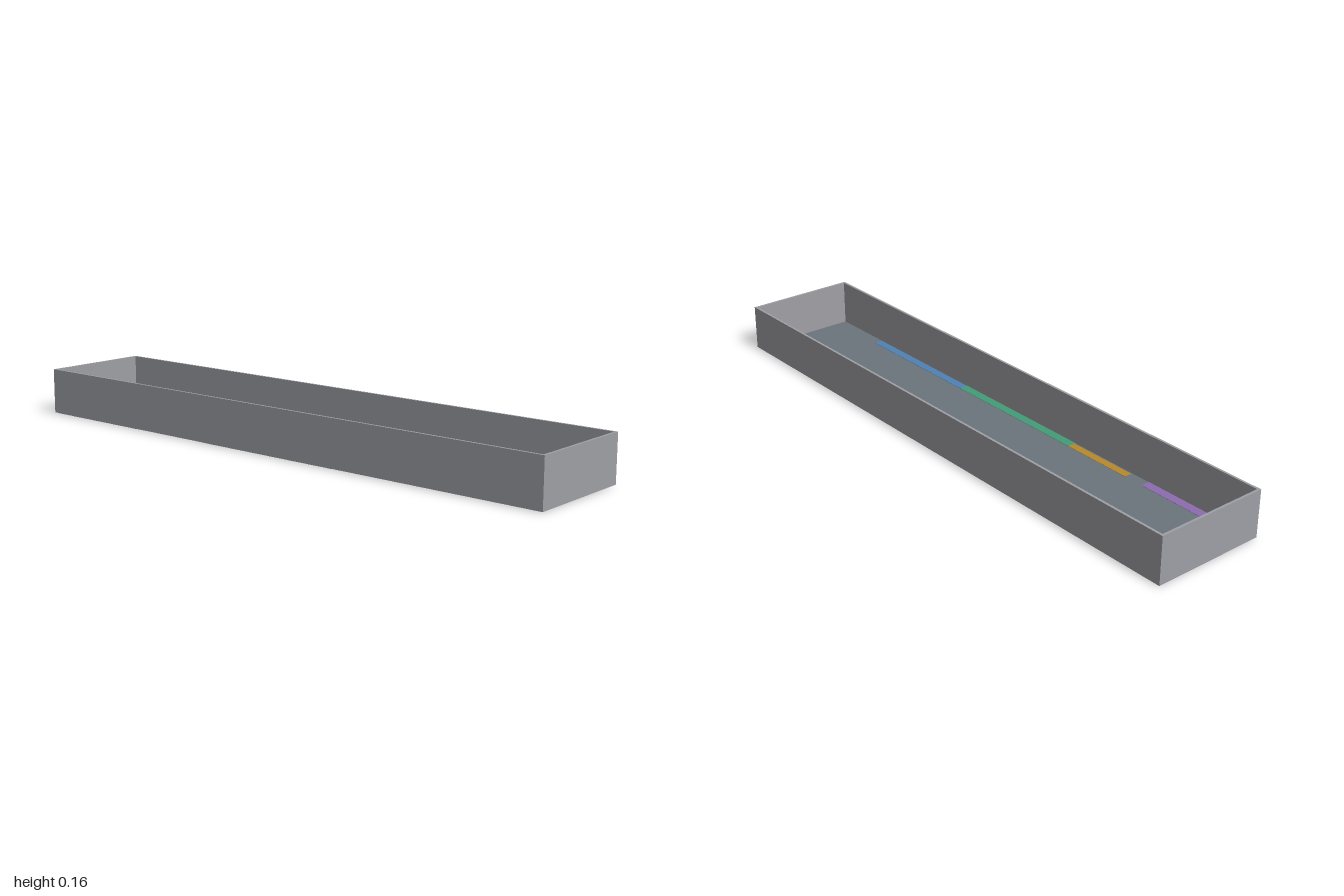
import * as THREE from 'three';

const material = (name, color) => {
  const m = new THREE.MeshStandardMaterial({ color });
  m.name = name;
  return m;
};

export function createModel() {
  const model = new THREE.Group();
  model.name = 'openTray';

  const wallGrey = material('wall grey', 0x9fa0a5);
  const floorSlate = material('floor slate', 0x6b757c);
  const purple = material('purple', 0x8b6cae);
  const amber = material('amber', 0xb8892c);
  const green = material('green', 0x439b77);
  const blue = material('blue', 0x4f82b4);

  // Box given by its lower and upper corners
  const addBox = (name, mat, [x0, y0, z0], [x1, y1, z1]) => {
    const mesh = new THREE.Mesh(new THREE.BoxGeometry(x1 - x0, y1 - y0, z1 - z0), mat);
    mesh.position.set((x0 + x1) / 2, (y0 + y1) / 2, (z0 + z1) / 2);
    mesh.name = name;
    model.add(mesh);
  };

  const W = 0.193, L = 1, T = 0.008, base = 0.003, top = 0.157;

  // Floor plate, inset by the wall thickness
  addBox('floor', floorSlate, [-W + T, 0.0005, -L + T], [W - T, base, L - T]);

  // Four thin walls
  addBox('leftWall', wallGrey, [W - T, base, -L], [W, top, L]);
  addBox('rightWall', wallGrey, [-W, base, -L], [-W + T, top, L]);
  addBox('frontWall', wallGrey, [-W + T, base, L - T], [W - T, top, L]);
  addBox('backWall', wallGrey, [-W + T, base, -L], [W - T, top, -L + T]);

  // Coloured strips along both long edges, showing above and below the floor
  const strips = [
    ['purpleStrip', purple, -0.992, -0.59, 0.185],
    ['amberStrip', amber, -0.52, -0.27, 0.18],
    ['greenStrip', green, -0.27, 0.27, 0.185],
    ['blueStrip', blue, 0.27, 0.76, 0.183],
  ];
  for (const [name, mat, z0, z1, outer] of strips) {
    addBox(name + 'Left', mat, [0.154, 0, z0], [outer, 0.004, z1]);
    addBox(name + 'Right', mat, [-outer, 0, z0], [-0.154, 0.004, z1]);
  }

  return model;
}
